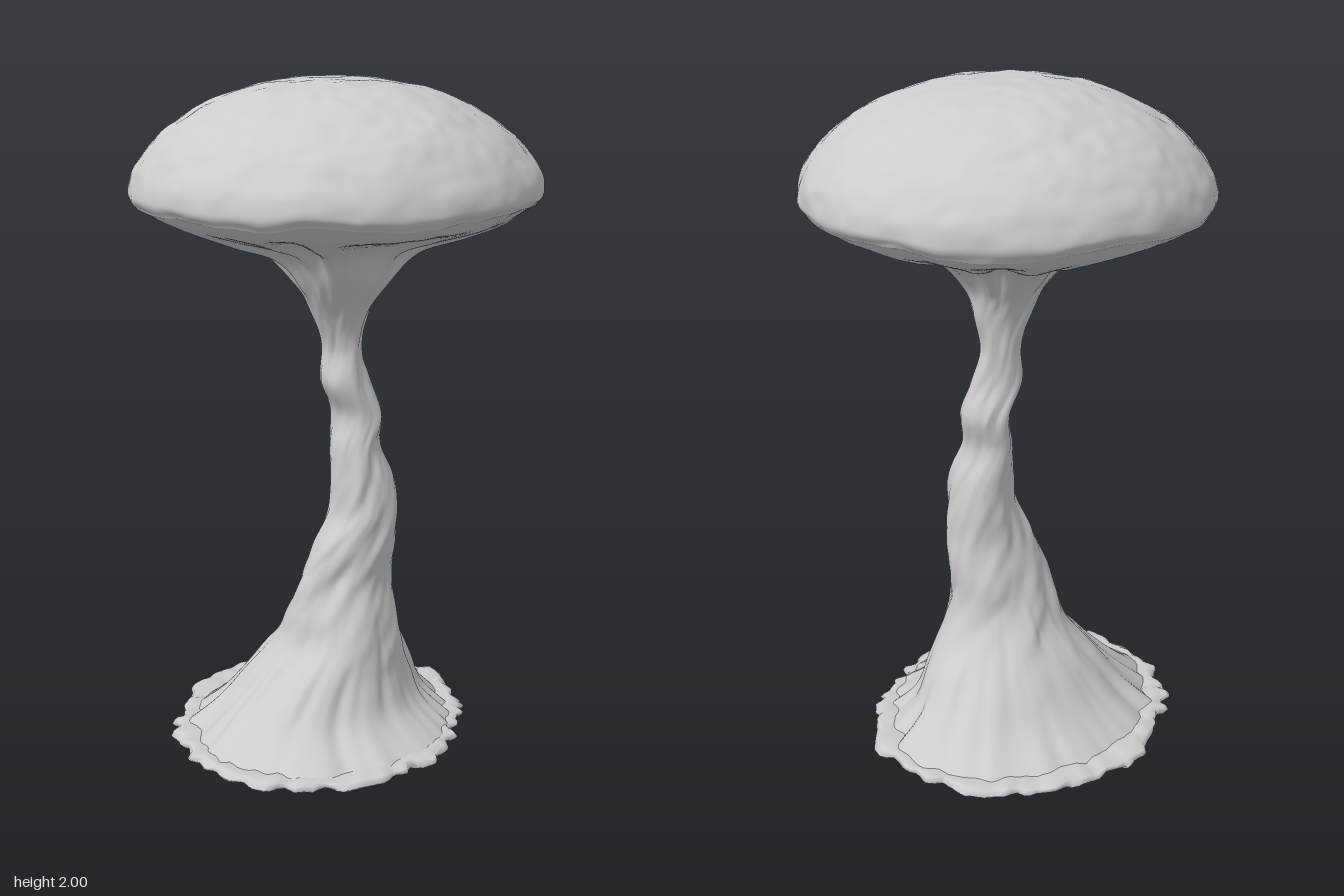
import * as THREE from 'three';

const SEG = 180;

// Smooth lattice noise in -1..1
const hash = (x, y, z) => {
  const s = Math.sin(x * 127.1 + y * 311.7 + z * 74.7) * 43758.5453;
  return (s - Math.floor(s)) * 2 - 1;
};
function noise(x, y, z) {
  const i = Math.floor(x), j = Math.floor(y), k = Math.floor(z);
  const s = t => t * t * (3 - 2 * t), mix = THREE.MathUtils.lerp;
  const u = s(x - i), v = s(y - j), w = s(z - k);
  const edge = (b, c) => mix(hash(i, b, c), hash(i + 1, b, c), u);
  return mix(mix(edge(j, k), edge(j + 1, k), v), mix(edge(j, k + 1), edge(j + 1, k + 1), v), w);
}
// Noise around the ring, freq sets the number of folds
const fold = (a, freq, y) => noise(Math.cos(a) * freq + 40, y, Math.sin(a) * freq + 40);

// Skin through sections [y, xMin, xMax, zMin, zMax]; shape(angle, point, t) may
// change the point's height y and its radius factor k
function loft(name, sections, rows, shape) {
  const cx = new THREE.CatmullRomCurve3(sections.map(s => new THREE.Vector3(s[0], s[1], s[2])), false, 'catmullrom');
  const cz = new THREE.CatmullRomCurve3(sections.map(s => new THREE.Vector3(s[0], s[3], s[4])), false, 'catmullrom');
  const pos = [], index = [];
  for (let r = 0; r <= rows; r++) {
    const t = r / rows, p = cx.getPoint(t), q = cz.getPoint(t);
    for (let i = 0; i < SEG; i++) {
      const a = i / SEG * Math.PI * 2;
      const dx = (p.z - p.y) / 2 * Math.cos(a), dz = (q.z - q.y) / 2 * Math.sin(a);
      const o = { x: dx, y: p.x, z: dz, k: 1 };
      shape(a, o, t);
      pos.push((p.y + p.z) / 2 + dx * o.k, o.y, (q.y + q.z) / 2 + dz * o.k);
      if (r < rows) {
        const b = r * SEG + i, n = r * SEG + (i + 1) % SEG;
        index.push(b, b + SEG, n, n, b + SEG, n + SEG);
      }
    }
  }
  const g = new THREE.BufferGeometry();
  g.setAttribute('position', new THREE.Float32BufferAttribute(pos, 3));
  g.setIndex(index);
  g.computeVertexNormals();
  const mesh = new THREE.Mesh(g, new THREE.MeshStandardMaterial({ color: 0xcccccc, side: THREE.DoubleSide }));
  mesh.name = name;
  return mesh;
}

const round = (y, r) => [y, -r, r, -r, r];
// The foot spreads further along the back-left diagonal
const skew = a => 0.01 - 0.1 * Math.sin(2 * a) + 0.035 * Math.cos(a + Math.PI / 4);

export function createModel() {
  const group = new THREE.Group();
  group.name = 'mushroom';
  const step = THREE.MathUtils.smoothstep;
  // Ragged waviness shared by the two sides of the cap rim
  const rimWave = a => 0.014 * fold(a, 2.5, 5) + 0.008 * fold(a, 8, 2.5);

  // Twisted stem spreading into roots below and into the folded cap underside above
  const stem = [
    [0.015, -0.48, 0.42, -0.46, 0.385],
    [0.1, -0.375, 0.335, -0.345, 0.26],
    [0.2, -0.275, 0.27, -0.265, 0.215],
    [0.3, -0.185, 0.21, -0.195, 0.195],
    [0.4, -0.145, 0.178, -0.145, 0.165],
    [0.5, -0.12, 0.182, -0.11, 0.135],
    [0.6, -0.09, 0.182, -0.078, 0.145],
    [0.7, -0.04, 0.175, -0.07, 0.148],
    [0.8, -0.03, 0.16, -0.063, 0.132],
    [0.9, -0.022, 0.122, -0.06, 0.108],
    [1.0, 0, 0.135, -0.07, 0.1],
    [1.1, -0.048, 0.105, -0.06, 0.077],
    [1.2, -0.036, 0.082, -0.06, 0.06],
    [1.3, -0.075, 0.105, -0.062, 0.08],
    [1.4, -0.13, 0.13, -0.1, 0.145],
    [1.5, -0.21, 0.22, -0.19, 0.21],
    [1.55, -0.35, 0.37, -0.36, 0.34],
    [1.595, -0.49, 0.5, -0.5, 0.49],
    [1.645, -0.582, 0.582, -0.582, 0.582],
  ];
  group.add(loft('stemAndUnderside', stem, 150, (a, o) => {
    const y = o.y;
    const roots = 1 - step(y, 0.05, 0.5);
    const gills = step(y, 1.3, 1.5) * (1 - step(y, 1.53, 1.62));
    const trunk = (1 - roots) * (1 - step(y, 1.3, 1.5));
    o.k += trunk * (0.04 * Math.sin(3 * a + 7 * y) + 0.07 * fold(a + 3 * y, 2.2, y * 6) + 0.04 * fold(a + 3 * y, 4, y * 13));
    o.k += roots * (skew(a) + 0.06 * fold(a, 3.5, y * 2) + 0.05 * fold(a, 8, y * 5));
    o.k += gills * (0.12 * fold(a, 3.5, y) + 0.07 * fold(a, 7, y * 3));
    o.y += gills * (0.02 * fold(a, 6, 3) + 0.012 * Math.sin(a)) + rimWave(a) * step(y, 1.56, 1.64);
  }));

  // Domed cap with a soft rim and a lightly dented skin
  const cap = [
    round(1.645, 0.582), round(1.68, 0.6), round(1.75, 0.578), round(1.84, 0.502),
    round(1.91, 0.396), round(1.96, 0.278), round(1.988, 0.145), round(1.997, 0.001),
  ];
  group.add(loft('cap', cap, 110, (a, o, t) => {
    const x = o.x + 9, y = o.y, z = o.z + 9;
    const lump = 0.6 * noise(x * 11, y * 11, z * 11) + 0.4 * noise(x * 25, y * 25, z * 25);
    const skin = step(t, 0, 0.08);
    o.k += 0.014 * lump * skin * (1 - step(t, 0.5, 0.9));
    o.y += 0.007 * lump * step(t, 0.15, 0.6) + rimWave(a) * (1 - step(t, 0, 0.3));
  }));

  // Thin, ragged ground disc closed underneath
  const edge = [-0.515, 0.455, -0.5, 0.41];
  const base = [
    [0.001, -0.001, 0.001, -0.001, 0.001], [0.001, ...edge], [0.01, -0.525, 0.465, -0.51, 0.42],
    [0.022, ...edge], [0.026, -0.49, 0.43, -0.47, 0.39], [0.018, -0.36, 0.32, -0.34, 0.25],
  ];
  group.add(loft('groundDisc', base, base.length - 1, (a, o, t) => {
    const ragged = t > 0.1 && t < 0.7 ? 1 : 0;
    o.k += skew(a) + ragged * (0.02 * fold(a, 5, 1) + 0.06 * fold(a, 13, 2 + t));
    if (t > 0.5) o.y += 0.005 * fold(a, 14, 7);
  }));

  return group;
}
